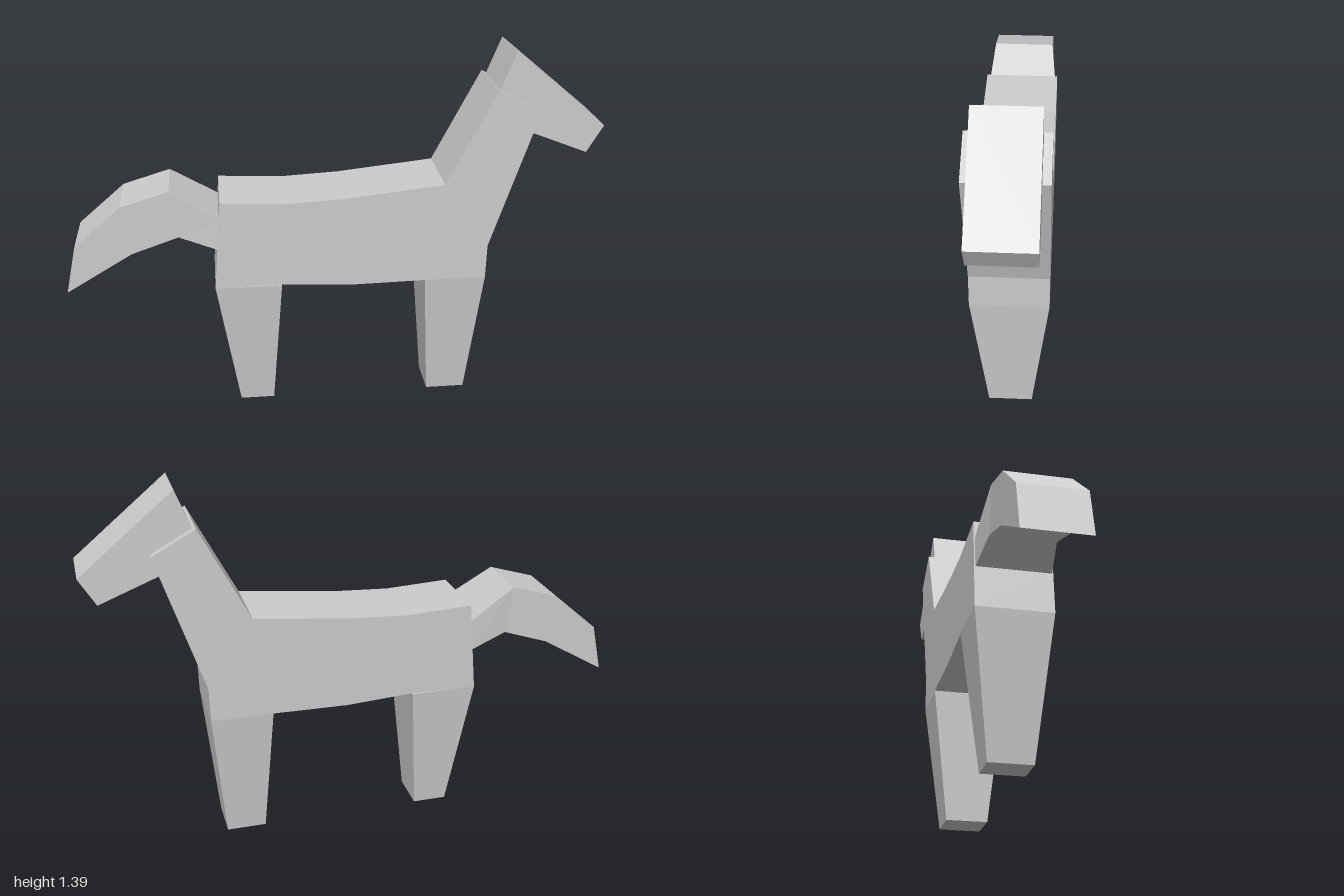
import * as THREE from 'three';

const material = new THREE.MeshStandardMaterial({ color: 0xcccccc, flatShading: true });

function part(name, geometry) {
  const mesh = new THREE.Mesh(geometry, material);
  mesh.name = name;
  return mesh;
}

// Capped four-sided loft; each section is [ax, ay, bx, by, halfWidth]
function loft(sections) {
  const pos = [], idx = [];
  for (const [ax, ay, bx, by, w] of sections) {
    pos.push(ax, ay, w, ax, ay, -w, bx, by, -w, bx, by, w);
  }
  for (let s = 0; s < sections.length - 1; s++) {
    for (let i = 0; i < 4; i++) {
      const a = s * 4 + i, b = s * 4 + (i + 1) % 4;
      idx.push(a, b, a + 4, b, b + 4, a + 4);
    }
  }
  const e = (sections.length - 1) * 4;
  idx.push(0, 3, 2, 0, 2, 1, e, e + 1, e + 2, e, e + 2, e + 3);
  const indexed = new THREE.BufferGeometry();
  indexed.setAttribute('position', new THREE.Float32BufferAttribute(pos, 3));
  indexed.setIndex(idx);
  const geometry = indexed.toNonIndexed();
  geometry.computeVertexNormals();
  return geometry;
}

export function createModel() {
  const model = new THREE.Group();
  model.name = 'horse';
  const bodyHalf = 0.142;

  // Body and neck: one extruded side profile
  const profile = [
    [-0.453, 0.523], [-0.195, 0.528], [0.06, 0.513], [0.4, 0.518], [0.577, 0.516],
    [0.58, 0.65], [0.75, 1.17], [0.59, 1.257], [0.407, 0.905],
    [0.035, 0.866], [-0.18, 0.855], [-0.425, 0.867], [-0.44, 0.68],
  ].map(([x, y]) => new THREE.Vector2(x, y));
  const body = new THREE.ExtrudeGeometry(new THREE.Shape(profile), { depth: 2 * bodyHalf, bevelEnabled: false });
  body.translate(0, 0, -bodyHalf);
  model.add(part('bodyAndNeck', body));

  // Head: wedge from muzzle back into the neck
  model.add(part('head', loft([
    [1, 1.105, 0.94, 1.003, 0.113],
    [0.655, 1.392, 0.56, 1.153, 0.113],
  ])));

  // Tail: arched, from rump to tip
  model.add(part('tail', loft([
    [-0.425, 0.797, -0.435, 0.68, 0.138],
    [-0.607, 0.912, -0.58, 0.73, 0.118],
    [-0.785, 0.858, -0.755, 0.67, 0.118],
    [-0.96, 0.707, -1, 0.525, 0.118],
  ])));

  // Leg pairs: one wide tapered block each
  const legs = [
    ['hindLegs', -0.453, -0.203, -0.37, -0.24, 0.524],
    ['frontLegs', 0.343, 0.577, 0.377, 0.527, 0.518],
  ];
  for (const [name, top0, top1, foot0, foot1, y] of legs) {
    model.add(part(name, loft([
      [top0, y, top1, y, bodyHalf],
      [foot0, 0, foot1, 0, 0.081],
    ])));
  }
  return model;
}
